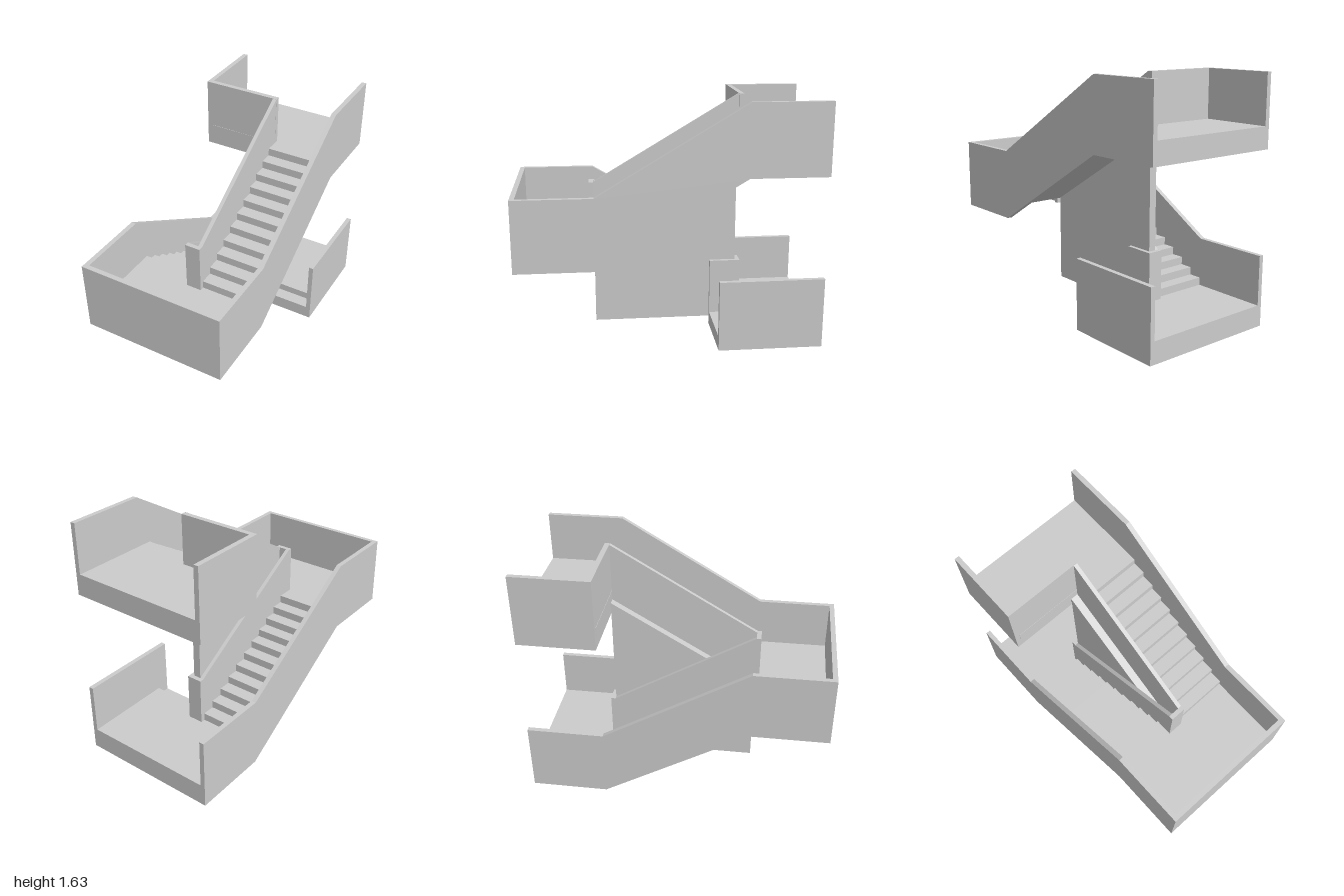
import * as THREE from 'three';

const RISERS = 11, RISE = 0.0525, STOREY = RISERS * RISE;
const KINK = 0.485;           // z where the flights meet the landings
const GOING = (2 * KINK) / RISERS;
const FLOOR = 0.145, SOFFIT = 0.08, PARAPET = 0.475;
const OUT = 0.48, IN = 0.448; // outer and inner faces of the side walls

export function createModel() {
  const group = new THREE.Group();
  const material = new THREE.MeshStandardMaterial({ color: 0xcccccc, flatShading: true });

  function add(name, geometry) {
    const mesh = new THREE.Mesh(geometry, material);
    mesh.name = name;
    group.add(mesh);
  }

  function box(name, x0, x1, y0, y1, z0, z1) {
    const g = new THREE.BoxGeometry(x1 - x0, y1 - y0, z1 - z0);
    g.translate((x0 + x1) / 2, (y0 + y1) / 2, (z0 + z1) / 2);
    add(name, g);
  }

  // Side profile of [z, y] points, extruded from x0 to x1
  function profile(name, points, x0, x1) {
    const shape = new THREE.Shape(points.map(([z, y]) => new THREE.Vector2(z, y)));
    const g = new THREE.ExtrudeGeometry(shape, { depth: x1 - x0, bevelEnabled: false });
    g.rotateY(-Math.PI / 2);
    g.translate(x1, 0, 0);
    add(name, g);
  }

  // One flight climbing towards d * z, on the side of x given by -d
  function flight(label, d, base) {
    const span = (a, b) => (d > 0 ? [-b, -a] : [a, b]);
    const place = (pts) => pts.map(([z, y]) => [z * d, y + base]);

    const steps = [[-KINK, SOFFIT]];
    for (let i = 0; i < RISERS; i++) {
      const z = -KINK + i * GOING;
      steps.push([z, FLOOR + i * RISE], [z, FLOOR + (i + 1) * RISE]);
    }
    steps.push([KINK, FLOOR + STOREY], [KINK, SOFFIT + STOREY]);
    profile(label + 'Steps', place(steps), ...span(0.052, IN));

    profile(label + 'InnerParapet', place([
      [-KINK, SOFFIT], [KINK, SOFFIT + STOREY],
      [KINK, PARAPET + STOREY], [-KINK, PARAPET],
    ]), ...span(0.026, 0.052));

    profile(label + 'OuterWall', place([
      [-1, 0], [-KINK, 0], [KINK, STOREY], [1, STOREY],
      [1, PARAPET + STOREY], [KINK, PARAPET + STOREY], [-KINK, PARAPET], [-1, PARAPET],
    ]), ...span(IN, OUT));
  }

  flight('lowerFlight', 1, 0);
  flight('upperFlight', -1, STOREY);

  // Landings: slab, edge beam at the far end, downstand beam on the centre line
  [['lower', -1, 0], ['middle', 1, STOREY], ['upper', -1, 2 * STOREY]].forEach(([label, s, y], i) => {
    const slab = (a, b) => (s > 0 ? [a, b] : [-b, -a]);
    box(label + 'LandingSlab', -IN, IN, y + SOFFIT, y + FLOOR, ...slab(KINK, 0.968));
    box(label + 'LandingEnd', -IN, IN, y, y + (s > 0 ? PARAPET : FLOOR), ...slab(0.968, 1));
    if (i > 0) box(label + 'LandingBeam', -0.028, 0.026, y + 0.045, y + SOFFIT, ...slab(KINK, 0.968));
  });

  // Parapet returns around the stairwell
  box('middleParapetReturn', -0.052, 0.052, STOREY + 0.045, STOREY + PARAPET, KINK, 0.515);
  box('lowerParapetReturn', -0.052, 0.052, 0, PARAPET, -0.517, -KINK);
  box('upperFrontParapet', -IN, 0.052, 2 * STOREY, 2 * STOREY + PARAPET, -0.52, -0.487);
  box('upperSideParapet', -OUT, -IN, 2 * STOREY, 2 * STOREY + PARAPET, -1, -0.487);

  // Start of the next flight down from the lower landing
  const z1 = -KINK + GOING, z2 = z1 + GOING;
  profile('descendingSteps', [
    [-KINK, SOFFIT], [-KINK, FLOOR], [z1, FLOOR], [z1, FLOOR - RISE],
    [z2, FLOOR - RISE], [z2, 0], [-KINK + SOFFIT / 0.6, 0],
  ], 0.052, IN);
  box('descendingInnerParapet', 0.026, 0.052, 0, PARAPET, -KINK, z2);
  box('lowerSideParapet', IN, OUT, 0, PARAPET, -1, z2);

  // Central wall between the flights, its top following the upper soffit
  profile('spineWall', [
    [-KINK, 0.055], [KINK, 0.055], [KINK, STOREY + SOFFIT], [-KINK, 2 * STOREY + SOFFIT],
  ], -0.026, 0.026);

  return group;
}
